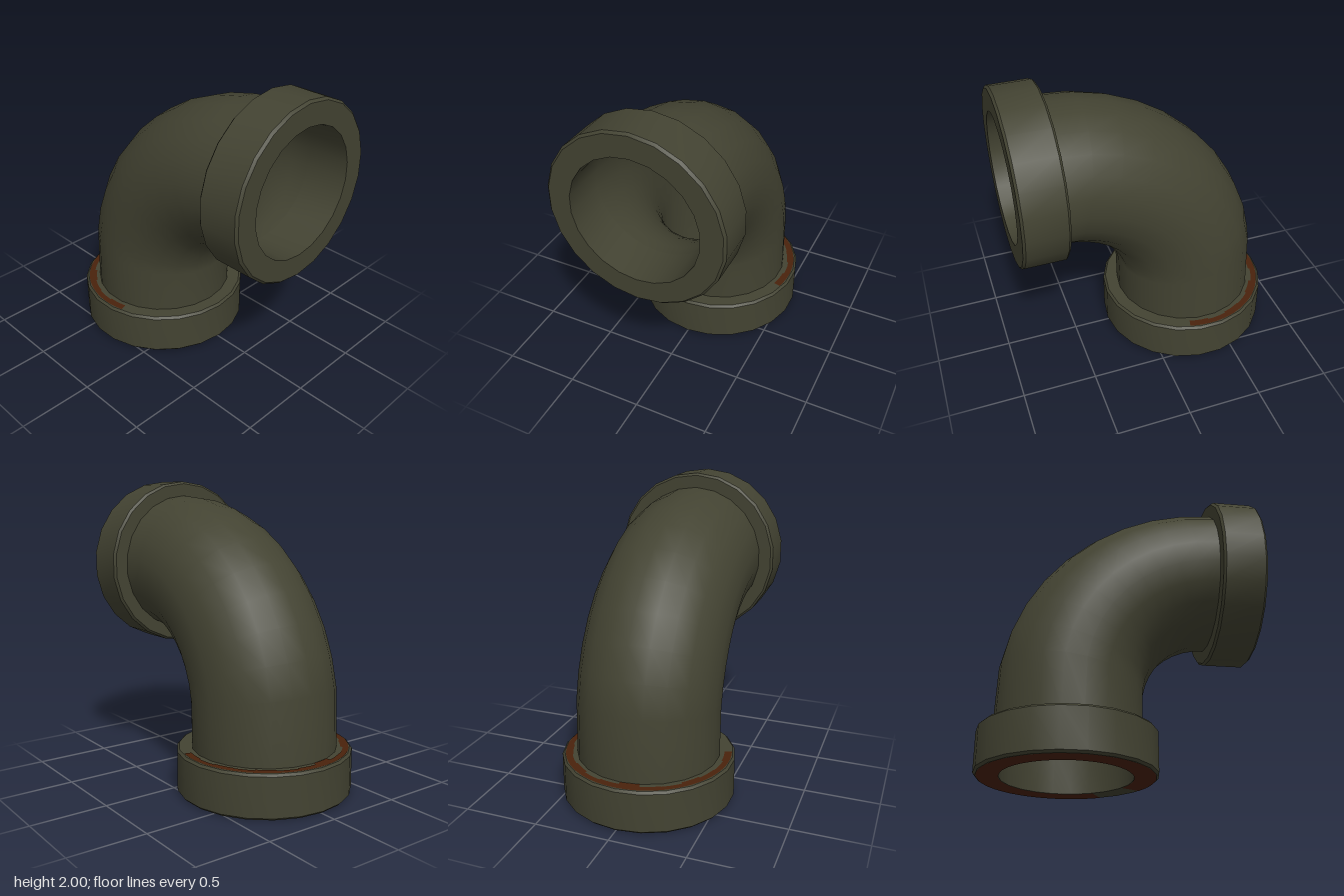
import * as THREE from 'three';
import { toCreasedNormals } from 'three/addons/utils/BufferGeometryUtils.js';

const SIDES = 22;
const HOLE = 0.42;       // bore radius
const PIPE = 0.477;      // outer pipe radius
const COLLAR_LEN = 0.29;
const AXIS_X = -0.325;   // axis of the lower opening
const AXIS_Y = 1.425;    // axis of the side opening
const BEND_X = 0.61, BEND_Y = 0.49, BEND_R = 0.935;

// Pipe wall swept through a quarter turn; inward = true gives the bore.
function bendGeometry(radius, inward) {
  const steps = 10, pos = [], index = [];
  for (let i = 0; i <= steps; i++) {
    const t = (i / steps) * Math.PI / 2;
    for (let j = 0; j < SIDES; j++) {
      const a = (j / SIDES) * Math.PI * 2;
      const r = BEND_R + radius * Math.cos(a);
      const y = i === 0 ? COLLAR_LEN : BEND_Y + r * Math.sin(t);
      pos.push(BEND_X - r * Math.cos(t), y, radius * Math.sin(a));
    }
  }
  for (let i = 0; i < steps; i++) {
    for (let j = 0; j < SIDES; j++) {
      const k = (j + 1) % SIDES;
      const a = i * SIDES + j, b = i * SIDES + k;
      const c = a + SIDES, d = b + SIDES;
      if (inward) index.push(a, c, b, b, c, d);
      else index.push(a, b, c, b, d, c);
    }
  }
  const g = new THREE.BufferGeometry();
  g.setAttribute('position', new THREE.Float32BufferAttribute(pos, 3));
  g.setIndex(index);
  g.computeVertexNormals();
  return g;
}

// Thick ring with small bevels, open end at y = 0.
function collarGeometry() {
  const R = 0.577, L = COLLAR_LEN, b = 0.015;
  const profile = [
    [HOLE, L], [HOLE, 0], [R - b, 0], [R, b], [R, L - b], [R - b, L], [HOLE, L],
  ].map(([x, y]) => new THREE.Vector2(x, y));
  const g = new THREE.LatheGeometry(profile, SIDES, Math.PI / 2);
  return toCreasedNormals(g, 0.6);
}

export function createModel() {
  const group = new THREE.Group();
  const green = new THREE.MeshStandardMaterial({ color: 0x434332 });
  green.name = 'dark olive';
  const rust = new THREE.MeshStandardMaterial({ color: 0x4a220c });
  rust.name = 'rust brown';

  const add = (name, geometry, material, parent = group) => {
    const mesh = new THREE.Mesh(geometry, material);
    mesh.name = name;
    parent.add(mesh);
    return mesh;
  };

  // Bent pipe, outside and bore
  add('pipeOuterWall', bendGeometry(PIPE, false), green);
  add('pipeInnerWall', bendGeometry(HOLE, true), green);

  // Collars at both ends
  const collar = collarGeometry();
  add('lowerCollar', collar, green).position.set(AXIS_X, 0, 0);
  const side = add('sideCollar', collar, green);
  side.rotation.z = Math.PI / 2;
  side.position.set(0.9, AXIS_Y, 0);

  // Ragged rust band on the upper rim of the lower collar
  const band = new THREE.Group();
  band.name = 'rimRust';
  band.position.set(AXIS_X, COLLAR_LEN + 0.003, 0);
  group.add(band);
  const inner = [0.505, 0.515, 0.505, 0.51, 0.5, 0.515, 0.505, 0.48,
    0.51, 0.515, 0.5, 0.51, 0.515, 0.505];
  const step = (Math.PI * 210 / 180) / inner.length;
  inner.forEach((r, i) => {
    const start = Math.PI + (i - inner.length / 2) * step;
    const g = new THREE.RingGeometry(r, 0.553, 2, 1, start, step);
    add('rimRustPatch', g.rotateX(-Math.PI / 2), rust, band);
  });

  // Rust on the underside of the lower collar, with a clean gap
  const deg = Math.PI / 180;
  const under = new THREE.RingGeometry(HOLE, 0.557, 40, 1, -28 * deg, 326 * deg);
  add('undersideRust', under.rotateX(Math.PI / 2), rust).position.set(AXIS_X, -0.002, 0);

  return group;
}
